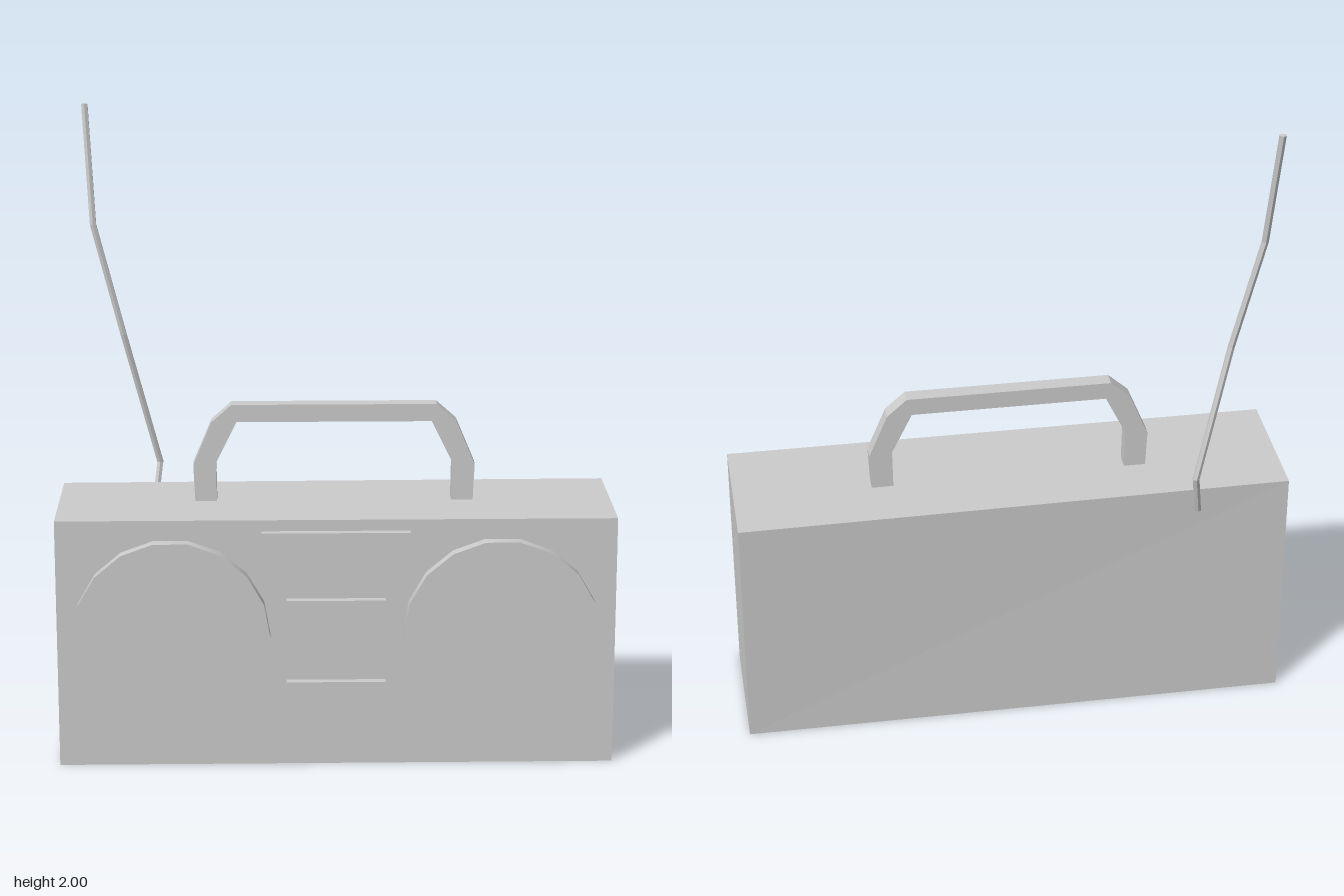
import * as THREE from 'three';

const material = new THREE.MeshStandardMaterial({ color: 0xcccccc });
const flatMaterial = new THREE.MeshStandardMaterial({ color: 0xcccccc, flatShading: true });

export function createModel() {
  const group = new THREE.Group();
  const add = (name, geometry, x = 0, y = 0, z = 0, mat = flatMaterial) => {
    const mesh = new THREE.Mesh(geometry, mat);
    mesh.name = name;
    mesh.position.set(x, y, z);
    group.add(mesh);
    return mesh;
  };

  // Case: a box whose back leans out slightly towards its upper left corner
  const front = 0.22;
  const body = new THREE.BoxGeometry(1.72, 0.79, 0.44);
  body.translate(0, 0.395, 0);
  const p = body.attributes.position;
  for (let i = 0; i < p.count; i++) {
    if (p.getZ(i) > 0) continue;
    const top = p.getY(i) > 0.4;
    p.setZ(i, top ? (p.getX(i) > 0 ? -0.232 : -0.214) : -0.208);
  }
  add('body', body);

  // Speakers: shallow discs on the front
  for (const side of [-1, 1]) {
    const disc = new THREE.CylinderGeometry(0.303, 0.303, 0.06, 18);
    disc.rotateY(Math.PI / 2);
    disc.rotateX(Math.PI / 2);
    add(side > 0 ? 'leftSpeaker' : 'rightSpeaker', disc, side * 0.507, 0.428, front + 0.01, material);
  }

  // Raised panels between the speakers: [name, width, height, centre y]
  const panels = [
    ['tunerPanel', 0.455, 0.13, 0.69],
    ['upperCassetteDoor', 0.305, 0.232, 0.423],
    ['lowerCassetteDoor', 0.305, 0.235, 0.158],
  ];
  for (const [name, w, h, y] of panels) {
    add(name, new THREE.BoxGeometry(w, h, 0.05), -0.002, y, front);
  }

  // Carrying handle: half outlines, mirrored into one arch
  const outer = [[0.432, 0.77], [0.438, 0.905], [0.38, 1.043], [0.318, 1.098]];
  const inner = [[0.303, 1.043], [0.367, 0.913], [0.365, 0.77]];
  const mirror = (pts) => pts.map(([x, y]) => [-x, y]).reverse();
  const arch = [...outer, ...mirror(outer), ...mirror(inner), ...inner];
  const handle = new THREE.ExtrudeGeometry(
    new THREE.Shape(arch.map(([x, y]) => new THREE.Vector2(x, y))),
    { depth: 0.05, bevelEnabled: false },
  );
  add('handle', handle, -0.003, 0, -0.047);

  // Bent aerial: a thin rod with each ring moved to a point of its path
  const path = [
    [-0.572, 0.71, -0.212],
    [-0.554, 0.85, -0.248],
    [-0.66, 1.28, -0.19],
    [-0.748, 1.63, -0.188],
    [-0.77, 2.0, -0.238],
  ];
  const spans = path.length - 1;
  const aerial = new THREE.CylinderGeometry(0.011, 0.011, spans, 6, spans);
  const a = aerial.attributes.position;
  for (let i = 0; i < a.count; i++) {
    const [x, y, z] = path[Math.round(a.getY(i) + spans / 2)];
    a.setXYZ(i, a.getX(i) + x, y, a.getZ(i) + z);
  }
  add('aerial', aerial);

  return group;
}
